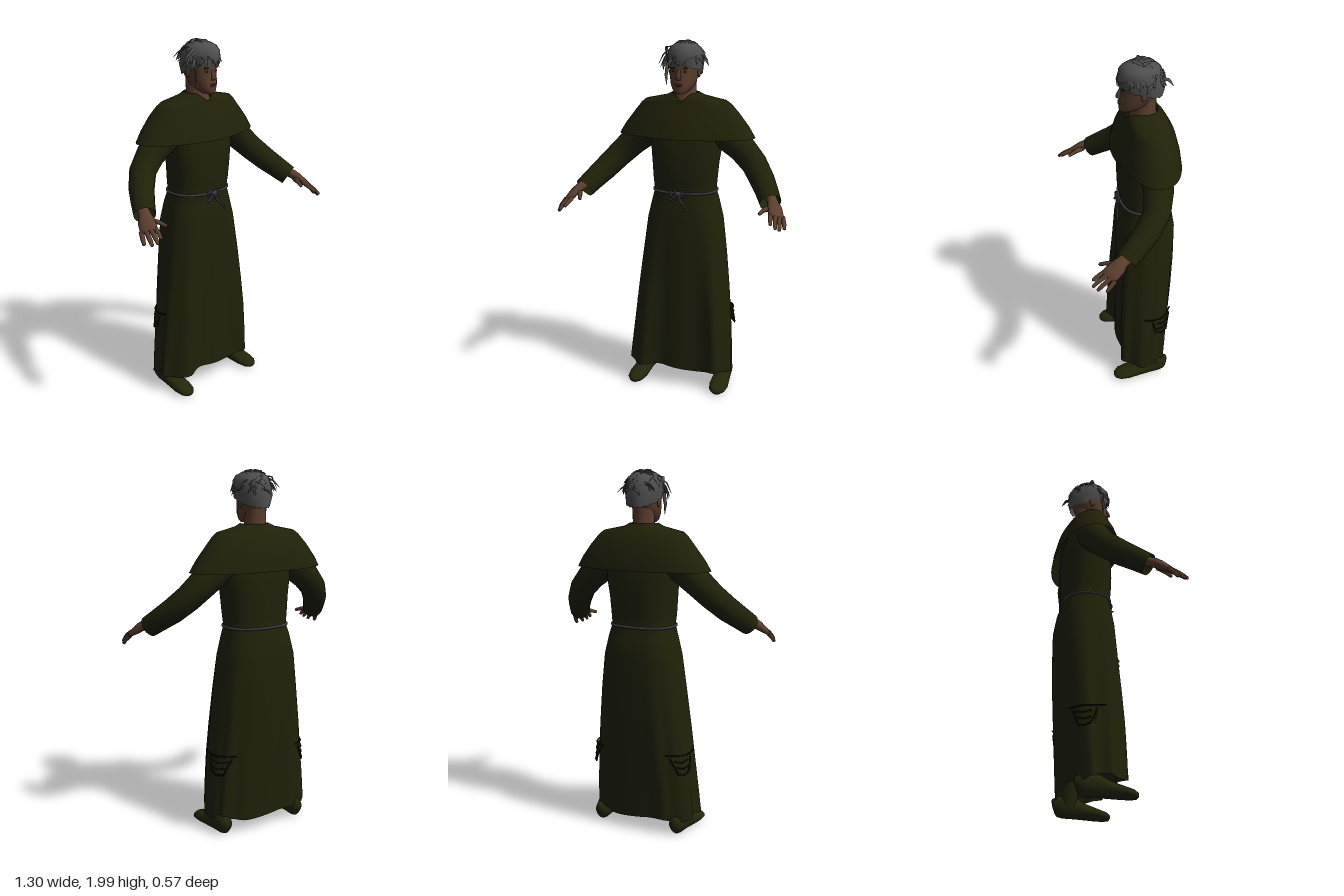
import * as THREE from 'three';

const V = (x, y, z) => new THREE.Vector3(x, y, z);
const mat = (name, color, side = THREE.DoubleSide) => {
  const m = new THREE.MeshStandardMaterial({ color, side });
  m.name = name;
  return m;
};

// Skin a list of closed rings (arrays of Vector3 with equal length)
function loft(rings) {
  const n = rings[0].length, idx = [];
  const pos = rings.flat().flatMap(p => [p.x, p.y, p.z]);
  for (let i = 0; i < rings.length - 1; i++) for (let j = 0; j < n; j++) {
    const a = i * n + j, b = i * n + (j + 1) % n;
    idx.push(a, b, b + n, a, b + n, a + n);
  }
  const g = new THREE.BufferGeometry();
  g.setAttribute('position', new THREE.Float32BufferAttribute(pos, 3));
  g.setIndex(idx);
  g.computeVertexNormals();
  return g;
}

// Horizontal superellipse ring; tweak(point, angle) shapes it further, angle 0 is the front
function ring([y, x0, x1, zf, zb], n = 40, e = 2.3, tweak) {
  const out = [], pw = v => Math.sign(v) * Math.abs(v) ** (2 / e);
  for (let j = 0; j < n; j++) {
    const a = j / n * Math.PI * 2;
    const p = V((x0 + x1) / 2 + (x1 - x0) / 2 * pw(Math.sin(a)), y, (zf + zb) / 2 + (zf - zb) / 2 * pw(Math.cos(a)));
    if (tweak) tweak(p, a);
    out.push(p);
  }
  return out;
}

// Tapered tube through points; each radius is a number or a [side, other] pair
function limb(pts, radii, n = 12, ref = V(0, 0, 1)) {
  return loft(pts.map((p, i) => {
    const t = pts[Math.min(i + 1, pts.length - 1)].clone().sub(pts[Math.max(i - 1, 0)]).normalize();
    const u = ref.clone().addScaledVector(t, -ref.dot(t)).normalize();
    const v = t.clone().cross(u);
    const [ru, rv] = [].concat(radii[i], radii[i]);
    return Array.from({ length: n }, (_, j) => {
      const a = j / n * Math.PI * 2;
      return p.clone().addScaledVector(u, Math.cos(a) * ru).addScaledVector(v, Math.sin(a) * rv);
    });
  }));
}

export function createModel() {
  const root = new THREE.Group();
  const cloth = mat('olive cloth', 0x1f2108), boots = mat('olive boots', 0x24260a);
  const skin = mat('brown skin', 0x5a3e2d), lip = mat('lips', 0x4e3026), white = mat('eye white', 0x6e6459);
  const hairMat = mat('grey hair', 0x4f4f50), rope = mat('grey rope', 0x423f46), dark = mat('dark seam', 0x0f1005);
  const add = (name, geo, m, parent = root) => {
    const mesh = new THREE.Mesh(geo, m);
    mesh.name = name;
    parent.add(mesh);
    return mesh;
  };
  const ball = (name, m, c, s, parent) => {
    const b = add(name, new THREE.SphereGeometry(1, 14, 10), m, parent);
    b.position.set(...c);
    b.scale.set(...s);
    return b;
  };

  // Long robe: folds grow towards the hem and the cloth falls forward over each leg
  const robeRows = [
    [0.1, -0.32, 0.29, 0.048, -0.23], [0.25, -0.305, 0.285, 0.048, -0.24], [0.42, -0.285, 0.275, 0.047, -0.25],
    [0.6, -0.265, 0.26, 0.047, -0.262], [0.8, -0.24, 0.24, 0.046, -0.272], [1.0, -0.215, 0.215, 0.043, -0.275],
    [1.1, -0.192, 0.192, 0.033, -0.258], [1.165, -0.175, 0.175, 0.02, -0.235], [1.22, -0.18, 0.18, 0.03, -0.238],
    [1.32, -0.186, 0.19, 0.034, -0.24], [1.42, -0.195, 0.205, 0.03, -0.245], [1.54, -0.2, 0.2, 0.015, -0.235],
    [1.64, -0.15, 0.15, -0.02, -0.2]];
  add('robe', loft(robeRows.map(r => ring(r, 72, 2.5, (p, a) => {
    const k = Math.max(0, 1.12 - r[0]);
    const w = 1 + 0.03 * k * Math.sin(9 * a + 0.6) + 0.02 * k * Math.cos(14 * a);
    p.x *= w;
    p.z = -0.1 + (p.z + 0.1) * w;
    if (Math.cos(a) > 0) p.z += 0.045 * Math.min(1, k * 1.5) * Math.exp(-(((Math.abs(p.x) - 0.78 * r[2]) / 0.055) ** 2));
    if (r[0] === 0.1) p.y += 0.015 * Math.cos(a) - 0.008 * Math.sin(5 * a);
  }))), cloth);

  // Shoulder cape with a V neckline and a point at the front
  const capeRows = [[1.472, -0.393, 0.393, 0.045, -0.283], [1.53, -0.357, 0.357, 0.034, -0.276],
    [1.6, -0.302, 0.302, 0.013, -0.258], [1.65, -0.26, 0.26, -0.004, -0.23], [1.672, -0.232, 0.232, -0.012, -0.212],
    [1.697, -0.11, 0.11, -0.02, -0.19], [1.714, -0.075, 0.075, -0.028, -0.178]];
  add('shoulder cape', loft(capeRows.map((r, i) => ring(r, 64, 2.2, (p, a) => {
    const front = Math.exp(-((Math.min(a, Math.PI * 2 - a) / 0.45) ** 2));
    if (i > 4) { p.y -= front * (i - 4) * 0.02; p.z += front * 0.012; }
    if (i < 3) p.z += front * (0.026 - i * 0.007);
  }))), cloth);

  // Rope belt with knot and loose ends
  const beltPts = ring([1.165, -0.179, 0.179, 0.026, -0.239], 40, 2.5);
  add('belt', new THREE.TubeGeometry(new THREE.CatmullRomCurve3(beltPts, true), 80, 0.007, 6, true), rope);
  ball('belt knot', rope, [0, 1.165, 0.036], [0.02, 0.014, 0.012]);
  [[[0, 1.165], [-0.025, 1.185], [-0.05, 1.165], [-0.02, 1.15], [0, 1.165]],
    [[0, 1.165], [0.02, 1.18], [0.04, 1.165], [0.02, 1.15], [0, 1.165]],
    [[0, 1.165], [-0.02, 1.145], [-0.055, 1.125]], [[0, 1.165], [0.02, 1.13], [0.07, 1.065]],
    [[0, 1.165], [0.008, 1.13], [0.03, 1.11]]].forEach(pts => {
    const c = new THREE.CatmullRomCurve3(pts.map(p => V(p[0], p[1], 0.038 + (1.165 - p[1]) * 0.12)));
    add('belt end', new THREE.TubeGeometry(c, 14, 0.0055, 6), rope);
  });

  for (const s of [-1, 1]) {
    const P = (x, y, z) => V(x * s, y, z);
    const side = new THREE.Group();
    side.name = s > 0 ? 'leftLimbs' : 'rightLimbs';
    root.add(side);

    // Sleeve, open at the wide cuff
    add('sleeve', limb([P(0.15, 1.54, -0.11), P(0.24, 1.483, -0.115), P(0.325, 1.412, -0.115), P(0.4, 1.338, -0.09),
      P(0.46, 1.268, -0.027), P(0.505, 1.215, 0.04), P(0.538, 1.173, 0.096)],
    [0.088, 0.087, 0.078, 0.072, 0.068, 0.062, 0.058], 18), cloth, side);

    // Hand
    add('wrist and palm', limb([P(0.53, 1.2, 0.065), P(0.556, 1.18, 0.12), P(0.571, 1.163, 0.145), P(0.588, 1.137, 0.185),
      P(0.598, 1.127, 0.203), P(0.6, 1.125, 0.206)],
    [[0.026, 0.029], [0.026, 0.033], [0.025, 0.043], [0.018, 0.046], [0.012, 0.04], 0.001], 12, P(0.5, 0.75, 0.2)), skin, side);
    [[[0.56, 1.147, 0.192], [0.57, 1.122, 0.245], [0.579, 1.102, 0.278]],
      [[0.585, 1.137, 0.198], [0.597, 1.108, 0.25], [0.606, 1.083, 0.284]],
      [[0.605, 1.125, 0.19], [0.618, 1.095, 0.235], [0.623, 1.07, 0.262]],
      [[0.62, 1.12, 0.168], [0.635, 1.09, 0.2], [0.64, 1.066, 0.218]],
      [[0.552, 1.16, 0.14], [0.522, 1.155, 0.19], [0.505, 1.14, 0.234]]].forEach((f, i) => {
      const [a, b, c] = f.map(p => P(...p));
      add(i === 4 ? 'thumb' : 'finger', limb([a, b, c.clone().lerp(b, 0.15), c],
        [i === 4 ? 0.019 : 0.013, 0.012, 0.009, 0.001], 8), skin, side);
    });

    // Leg and shoe
    add('trouser leg', limb([P(0.235, 0.06, -0.13), P(0.195, 0.3, -0.11), P(0.14, 0.75, -0.1)], [0.045, 0.055, 0.07], 14), boots, side);
    add('shoe', limb([[-0.205, 0.05], [-0.2, 0.055], [-0.16, 0.065], [-0.1, 0.062], [-0.04, 0.046], [0.03, 0.035],
      [0.08, 0.028], [0.105, 0.022], [0.112, 0.02]].map(r => P(0.238 + (r[0] + 0.15) * 0.06, r[1] + 0.003, r[0])),
    [0.001, [0.032, 0.05], [0.043, 0.063], [0.046, 0.06], [0.05, 0.044], [0.055, 0.033], [0.046, 0.026], [0.025, 0.016], 0.001],
    16, V(1, 0, 0)), boots, side);

    // Ragged patch wrapped round the side of the skirt
    const onSkirt = (y, z, lift) => P((0.28 - (y - 0.42) * 0.1) * (1 - Math.abs((z + 0.1) / 0.16) ** 2.5) ** 0.4 + lift, y, z);
    const flap = new THREE.PlaneGeometry(0.1, 0.095, 8, 3), fp = flap.attributes.position;
    for (let i = 0; i < fp.count; i++) {
      const p = onSkirt(0.415 + fp.getY(i), -0.165 + fp.getX(i) * (1 + fp.getY(i) * 4), 0.011);
      fp.setXYZ(i, p.x, p.y, p.z);
    }
    flap.computeVertexNormals();
    add('torn flap', flap, cloth, side);
    [[[0.475, -0.065], [0.47, -0.12], [0.468, -0.18], [0.472, -0.235]], [[0.45, -0.115], [0.4, -0.13], [0.37, -0.15]],
      [[0.455, -0.225], [0.4, -0.21], [0.36, -0.2]], [[0.44, -0.14], [0.43, -0.18], [0.44, -0.215]],
      [[0.405, -0.14], [0.395, -0.175], [0.405, -0.205]], [[0.37, -0.15], [0.36, -0.175], [0.365, -0.2]]].forEach(l => {
      const c = new THREE.CatmullRomCurve3(l.map(p => onSkirt(...p, 0.013)));
      add('torn seam', new THREE.TubeGeometry(c, 12, 0.004, 5), dark, side);
    });

    // Eye, brow and ear
    ball('eye', white, [s * 0.032, 1.835, 0.007], [0.012, 0.005, 0.007], side);
    ball('iris', dark, [s * 0.032, 1.835, 0.012], [0.005, 0.005, 0.004], side);
    ball('brow', dark, [s * 0.034, 1.852, 0.011], [0.018, 0.003, 0.007], side);
    ball('ear', skin, [s * 0.081, 1.825, -0.088], [0.009, 0.03, 0.017], side);
  }

  // Neck and head
  add('neck', loft([[1.6, -0.09, 0.09, -0.03, -0.19], [1.67, -0.068, 0.068, -0.025, -0.175], [1.71, -0.058, 0.058, -0.045, -0.168],
    [1.8, -0.058, 0.058, -0.055, -0.17]].map(r => ring(r, 24, 2))), skin);
  add('head', loft([[1.712, -0.004, 0.004, 0, -0.02], [1.714, -0.026, 0.026, 0.018, -0.05], [1.73, -0.045, 0.045, 0.027, -0.09],
    [1.76, -0.064, 0.064, 0.027, -0.14], [1.8, -0.074, 0.074, 0.022, -0.175], [1.835, -0.079, 0.079, 0.018, -0.19],
    [1.87, -0.083, 0.083, 0.023, -0.195], [1.92, -0.081, 0.081, 0.012, -0.195], [1.96, -0.06, 0.06, -0.02, -0.165],
    [1.982, -0.003, 0.003, -0.08, -0.09]].map(r => ring(r, 28, 2.1))), skin);
  add('nose', limb([V(0, 1.845, 0.014), V(0, 1.815, 0.028), V(0, 1.798, 0.032), V(0, 1.789, 0.022)],
    [[0.006, 0.008], [0.01, 0.011], [0.012, 0.018], [0.003, 0.01]], 10), skin);
  ball('upper lip', lip, [0, 1.766, 0.024], [0.023, 0.004, 0.008]);
  ball('lower lip', lip, [0, 1.758, 0.023], [0.019, 0.005, 0.009]);

  // Hair cap: low at the nape, high over the face
  const hairRows = [[0, 0.088, 0.115], [0.3, 0.098, 0.122], [0.6, 0.097, 0.117], [0.8, 0.082, 0.098], [0.93, 0.052, 0.064], [1, 0.001, 0.001]];
  add('hair cap', loft(hairRows.map(([t, rx, rz]) => Array.from({ length: 32 }, (_, j) => {
    const a = j / 32 * Math.PI * 2, base = 1.827 + 0.033 * Math.cos(a) + (j % 2) * 0.006;
    const w = 1 + 0.03 * Math.sin(j * 5.3 + t * 9);
    return V(0.006 + rx * w * Math.sin(a), base + (1.99 - base) * t, -0.088 + rz * w * Math.cos(a));
  }))), hairMat);

  // Loose locks
  let seed = 7;
  const rnd = () => (seed = (seed * 16807) % 2147483647) / 2147483647;
  const lock = (a, b, c) => add('hair lock', limb([a, b, c], [[0.004, 0.012], [0.004, 0.01], 0.001], 5, V(0.3, 0.9, 0.2)), hairMat);
  for (let i = 0; i < 110; i++) {
    const a = rnd() * Math.PI * 2, h = 0.2 + rnd() * 1.2, r = Math.cos(h);
    const out = V(Math.sin(a) * r, Math.sin(h), Math.cos(a) * r);
    const p = V(0.006 + out.x * 0.095, 1.877 + out.y * 0.112, -0.088 + out.z * 0.115);
    const swirl = V(Math.cos(a), 0, -Math.sin(a)).multiplyScalar((rnd() - 0.5) * 0.06);
    const b = p.clone().add(swirl).add(V(out.x * 0.012, 0.008 - 0.02 * r, out.z * 0.007));
    const c = b.clone().add(swirl).add(V(out.x * 0.012, -0.028 * r, out.z * (out.z < 0 ? 0.014 : 0.002)));
    lock(p, b, c);
  }
  [[-0.07, 1.95, -0.05, -0.11, 1.92, -0.05, -0.142, 1.865, -0.06], [-0.07, 1.96, -0.08, -0.11, 1.955, -0.1, -0.125, 1.89, -0.13],
    [-0.07, 1.94, -0.04, -0.105, 1.9, -0.05, -0.128, 1.85, -0.05], [-0.06, 1.96, -0.11, -0.1, 1.93, -0.14, -0.12, 1.9, -0.16],
    [-0.08, 1.9, -0.03, -0.1, 1.87, -0.02, -0.105, 1.835, -0.03], [-0.08, 1.87, -0.03, -0.086, 1.81, -0.02, -0.084, 1.755, -0.025],
    [0.08, 1.92, -0.06, 0.1, 1.9, -0.05, 0.113, 1.87, -0.06], [0.04, 1.9, -0.18, 0.07, 1.9, -0.215, 0.09, 1.875, -0.235],
    [-0.03, 1.93, 0, -0.05, 1.88, 0.025, -0.06, 1.845, 0.02], [0.02, 1.93, 0, 0.03, 1.88, 0.028, 0.045, 1.85, 0.024]]
    .forEach(l => lock(V(...l.slice(0, 3)), V(...l.slice(3, 6)), V(...l.slice(6))));
  return root;
}
